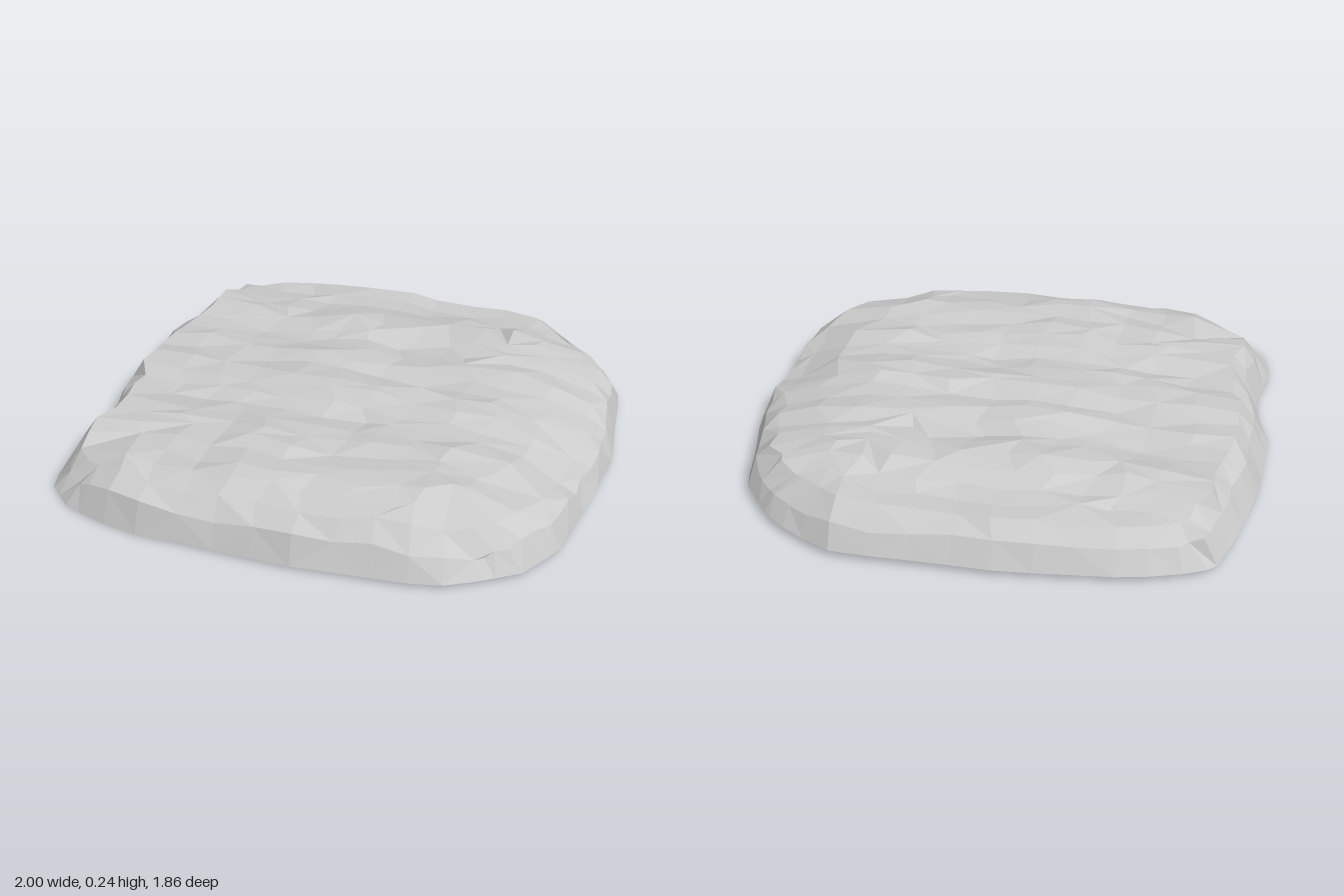
import * as THREE from 'three';

// Footprint of the slab, [x, z], running round from the back.
const OUTLINE = [
  [-0.04, -0.93], [0.12, -0.92], [0.5, -0.92], [0.68, -0.83], [0.8, -0.73], [0.92, -0.56],
  [0.96, -0.3], [1, -0.12], [0.98, 0.2], [0.95, 0.52], [0.86, 0.69], [0.72, 0.79],
  [0.58, 0.87], [0.3, 0.9], [0.05, 0.93], [-0.57, 0.93], [-0.75, 0.89], [-0.85, 0.85],
  [-0.96, 0.75], [-0.98, 0.6], [-0.94, 0.38], [-0.96, 0.22], [-1, 0.1], [-0.98, -0.28],
  [-0.91, -0.6], [-0.85, -0.78], [-0.7, -0.85], [-0.52, -0.89], [-0.2, -0.92],
];
// Height of the top along x, and its rise and fall along z.
const HEIGHT_X = [[-1, 0.17], [-0.85, 0.195], [-0.4, 0.205], [-0.15, 0.235], [0.1, 0.22],
  [0.5, 0.24], [0.7, 0.215], [0.85, 0.175], [1, 0.13]];
const SCALE_Z = [[-0.95, 0.78], [-0.85, 0.8], [-0.68, 0.85], [-0.6, 0.96], [-0.45, 1.01],
  [-0.3, 0.94], [-0.1, 0.99], [0, 1.04], [0.2, 0.96], [0.4, 0.98], [0.55, 1.03],
  [0.75, 0.93], [0.83, 0.83], [0.95, 0.7]];
// Worn-down places on the edge: x, z, reach, depth.
const WORN = [[-0.9, 0.8, 0.17, 0.085], [0.92, 0.12, 0.16, 0.05],
  [0.68, 0.78, 0.15, 0.06], [0.82, -0.7, 0.14, 0.03]];

function lerpTable(table, t) {
  if (t <= table[0][0]) return table[0][1];
  for (let i = 1; i < table.length; i++) {
    const [a, va] = table[i - 1], [b, vb] = table[i];
    if (t <= b) return va + (vb - va) * (t - a) / (b - a);
  }
  return table[table.length - 1][1];
}

function wear(x, z) {
  return WORN.reduce((sum, [wx, wz, reach, depth]) =>
    sum + depth * Math.exp(-((x - wx) ** 2 + (z - wz) ** 2) / reach ** 2), 0);
}

// Where a ray from the centre meets the footprint.
function outlineRadius(dx, dz) {
  for (let i = 0; i < OUTLINE.length; i++) {
    const [ax, az] = OUTLINE[i], [bx, bz] = OUTLINE[(i + 1) % OUTLINE.length];
    const ex = bx - ax, ez = bz - az;
    const det = dx * ez - dz * ex;
    if (Math.abs(det) < 1e-9) continue;
    const t = (ax * ez - az * ex) / det;
    const s = (ax * dz - az * dx) / det;
    if (t > 0 && s >= -1e-6 && s <= 1 + 1e-6) return t;
  }
  return 1;
}

function seededRandom(seed) {
  return () => {
    seed = (seed * 1664525 + 1013904223) >>> 0;
    return seed / 4294967296 - 0.5;
  };
}

// Grid lines: rim, shoulder and crest at both ends, even steps between.
function gridLines(count) {
  const lines = [-1, -0.96];
  for (let i = 0; i <= count; i++) lines.push(-0.89 + 1.78 * i / count);
  return [...lines, 0.96, 1];
}

export function createModel() {
  const group = new THREE.Group();
  const random = seededRandom(11);
  const us = gridLines(11), vs = gridLines(20);
  const positions = [], index = [];

  // Bend a flat grid into an open shell: walls round the edge, ripples on top.
  for (const v of vs) {
    for (const u of us) {
      const ring = Math.max(Math.abs(u), Math.abs(v));
      const len = Math.hypot(u, v) || 1;
      const radius = outlineRadius(u / len, v / len) * ring;
      let x = u / len * radius, z = v / len * radius, y;
      const worn = wear(x, z);
      if (ring > 0.99) {
        // Lower rim, dipping slightly at the front left
        y = 0.024 + 0.006 * x - 0.007 * z;
        if (x < -0.5 && z > 0.5) y -= 0.009;
      } else if (ring > 0.95) {
        // Shoulder of the wall, leaning in more on the left
        y = 0.125 - 0.6 * worn + 0.03 * random();
        x *= (x < 0 ? 0.98 : 1) + 0.025 * random();
        z *= 1 + 0.015 * random();
      } else {
        // Ripples drawn out along x
        const ripple = Math.sin(z * 21 + Math.sin(x * 4.2) * 1.1);
        const calm = ring > 0.85 ? 0.5 : 1;
        y = lerpTable(HEIGHT_X, x) * lerpTable(SCALE_Z, z) - worn;
        y += calm * (0.008 * ripple + 0.022 * random());
        x += 0.08 * calm * random();
        z += 0.045 * calm * random();
      }
      positions.push(x, y, z);
    }
  }

  // Join the grid with diagonals that alternate in direction
  for (let j = 0; j < vs.length - 1; j++) {
    for (let i = 0; i < us.length - 1; i++) {
      const a = j * us.length + i, b = a + 1, c = a + us.length, d = c + 1;
      if ((i + j) % 2) index.push(a, c, b, b, c, d);
      else index.push(a, c, d, a, d, b);
    }
  }

  const shell = new THREE.BufferGeometry();
  shell.setAttribute('position', new THREE.Float32BufferAttribute(positions, 3));
  shell.setIndex(index);
  const geometry = shell.toNonIndexed();
  geometry.computeVertexNormals();
  const slab = new THREE.Mesh(geometry, new THREE.MeshStandardMaterial({
    color: 0xcccccc, flatShading: true, side: THREE.DoubleSide,
  }));
  slab.name = 'rockSlab';
  group.add(slab);

  // Stand the rim on the ground
  geometry.computeBoundingBox();
  slab.position.y = -geometry.boundingBox.min.y;
  return group;
}
